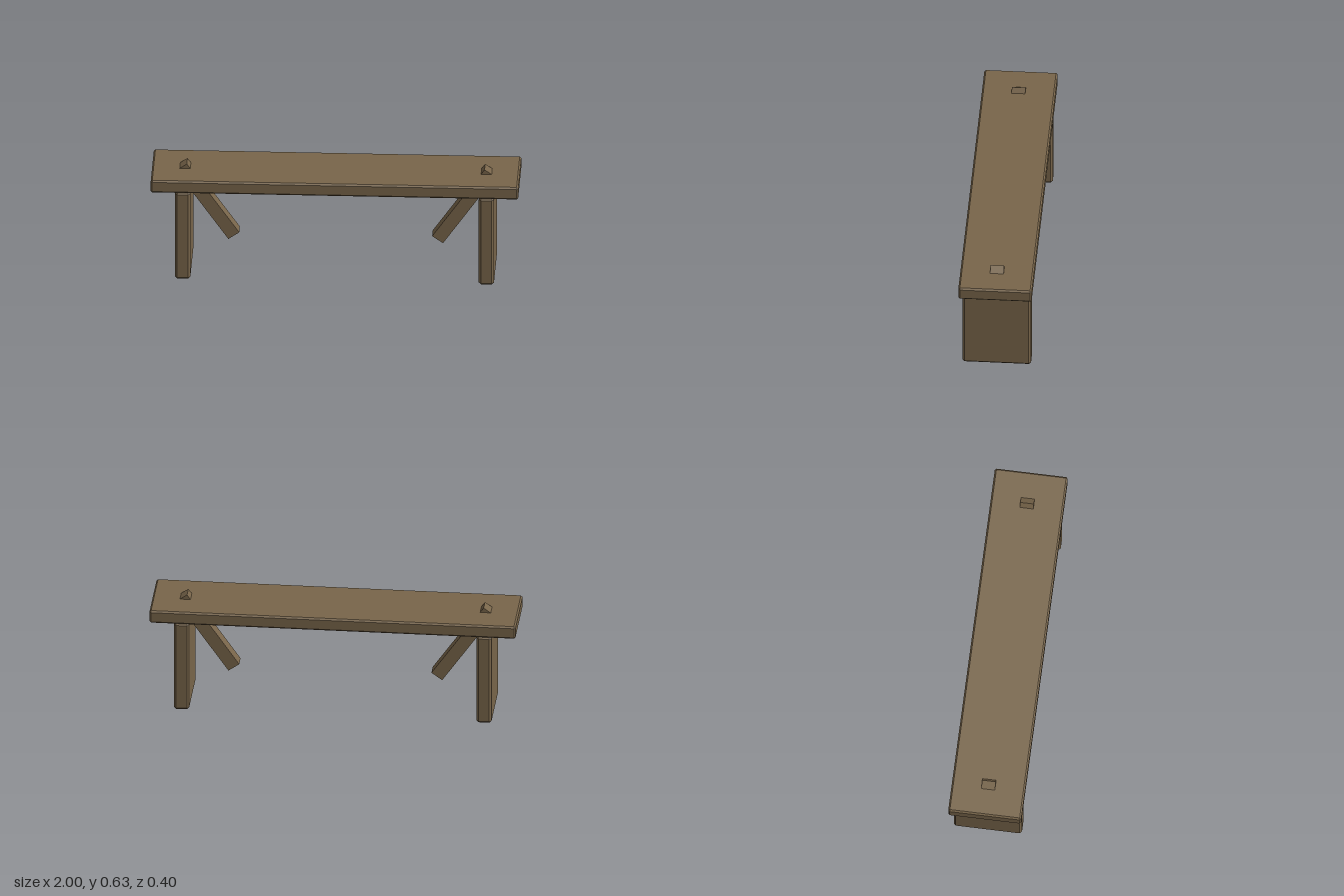
import * as THREE from 'three';
import { ConvexGeometry } from 'three/addons/geometries/ConvexGeometry.js';

// Box with every edge cut by a flat chamfer c
function chamferBox(w, h, d, c) {
  const points = [];
  for (const x of [-1, 1]) for (const y of [-1, 1]) for (const z of [-1, 1]) {
    const a = w / 2, b = h / 2, e = d / 2;
    points.push(
      new THREE.Vector3(x * a, y * (b - c), z * (e - c)),
      new THREE.Vector3(x * (a - c), y * b, z * (e - c)),
      new THREE.Vector3(x * (a - c), y * (b - c), z * e),
    );
  }
  return new ConvexGeometry(points);
}

export function createModel() {
  const bench = new THREE.Group();
  bench.name = 'bench';
  const wood = new THREE.MeshStandardMaterial({ color: 0x78654a });
  wood.name = 'brown wood';

  const add = (name, geometry, x, y) => {
    const mesh = new THREE.Mesh(geometry, wood);
    mesh.name = name;
    mesh.position.set(x, y, 0);
    bench.add(mesh);
    return mesh;
  };

  // Long seat plank
  add('seat', chamferBox(2, 0.073, 0.4, 0.009), 0, 0.5635);

  // Slab legs and slanted braces whose ends poke through the seat
  const legGeometry = chamferBox(0.083, 0.523, 0.374, 0.012);
  const braceGeometry = new THREE.BoxGeometry(0.072, 0.497, 0.074);
  for (const [side, s] of [['left', 1], ['right', -1]]) {
    add(side + 'Leg', legGeometry, s * 0.826, 0.2635);
    add(side + 'Brace', braceGeometry, s * 0.697, 0.403).rotation.z = -s * 0.611;
  }
  return bench;
}
